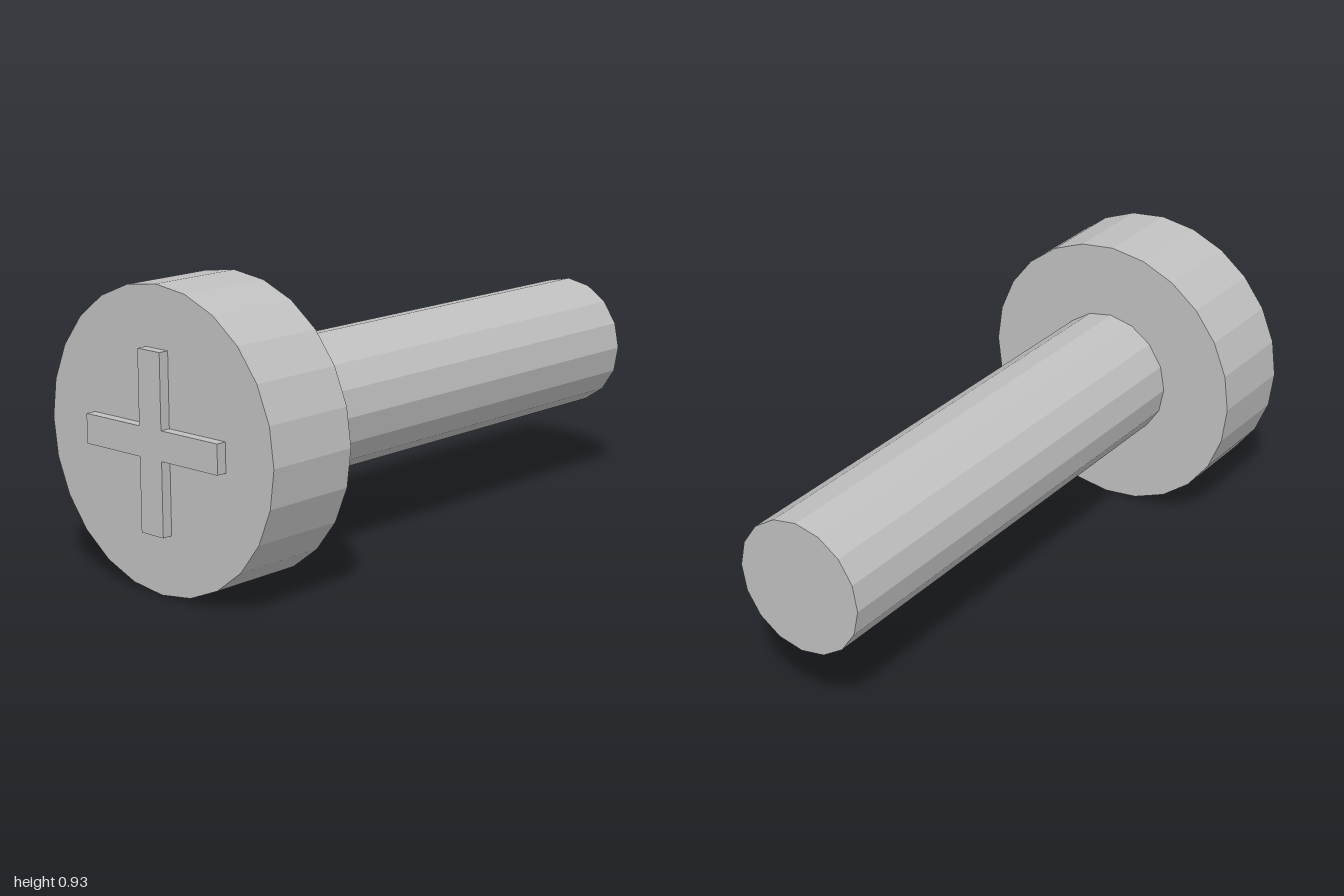
import * as THREE from 'three';

const AXIS_Y = 0.466;

export function createModel() {
  const group = new THREE.Group();
  group.name = 'screw';
  const steel = new THREE.MeshStandardMaterial({ color: 0xc0c0c0, flatShading: true });
  steel.name = 'steel grey';

  // Faceted cylinder lying along z between two depths
  function rod(name, radius, z0, z1, sides) {
    const geometry = new THREE.CylinderGeometry(radius, radius, z1 - z0, sides);
    geometry.rotateX(Math.PI / 2);
    const mesh = new THREE.Mesh(geometry, steel);
    mesh.name = name;
    mesh.position.set(0, AXIS_Y, (z0 + z1) / 2);
    group.add(mesh);
  }

  rod('shaft', 0.219, -1, 0.65, 16);
  rod('head', 0.466, 0.65, 0.967, 24);

  // Raised cross on the front of the head
  const a = 0.276; // arm reach
  const w = 0.046; // arm half width
  const outline = [
    [w, w], [w, a], [-w, a], [-w, w], [-a, w], [-a, -w],
    [-w, -w], [-w, -a], [w, -a], [w, -w], [a, -w], [a, w],
  ].map(([x, y]) => new THREE.Vector2(x, y));
  const cross = new THREE.Mesh(
    new THREE.ExtrudeGeometry(new THREE.Shape(outline), { depth: 0.033, bevelEnabled: false }),
    steel
  );
  cross.name = 'driveCross';
  cross.position.set(0, AXIS_Y + 0.001, 0.967);
  group.add(cross);

  return group;
}
